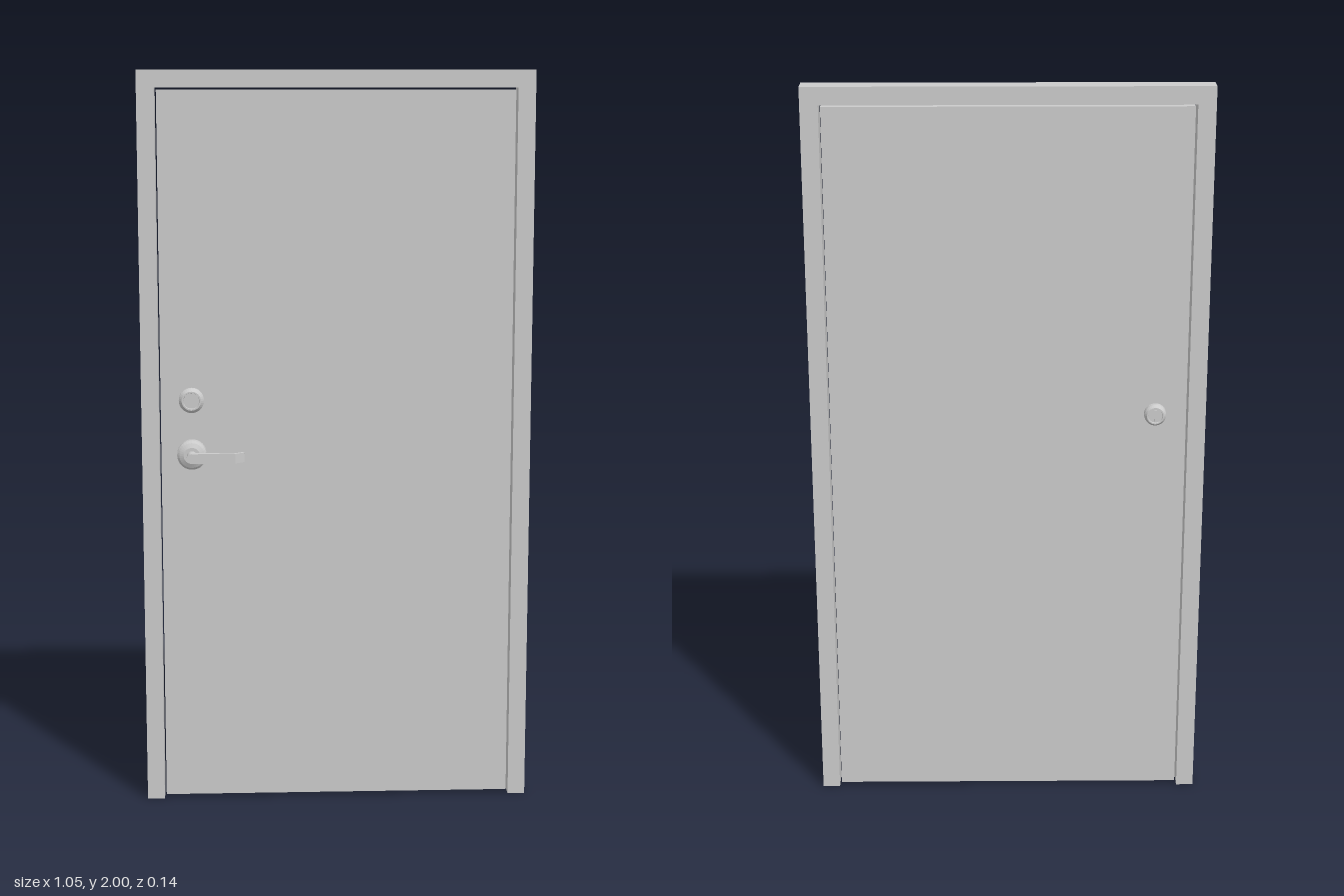
import * as THREE from 'three';

const material = new THREE.MeshStandardMaterial({ color: 0xcccccc });
const flatMaterial = new THREE.MeshStandardMaterial({ color: 0xcccccc, flatShading: true });

function add(parent, name, geometry, x, y, z, mat = material) {
  const mesh = new THREE.Mesh(geometry, mat);
  mesh.name = name;
  mesh.position.set(x, y, z);
  parent.add(mesh);
  return mesh;
}

// Turned part: [radius, distance from the door], facing +z
function turned(points) {
  const profile = points.map(([r, h]) => new THREE.Vector2(r, h));
  return new THREE.LatheGeometry(profile, 32).rotateX(Math.PI / 2);
}

export function createModel() {
  const door = new THREE.Group();
  door.name = 'door';
  const depth = 0.057, halfWidth = 0.527, trim = 0.047, recess = 0.006;
  const hardwareX = -0.392;

  // Frame: two jambs and a head in one piece, open at the floor
  const inner = halfWidth - trim;
  const outline = new THREE.Shape([
    [-halfWidth, 0], [-inner, 0], [-inner, 2 - trim], [inner, 2 - trim],
    [inner, 0], [halfWidth, 0], [halfWidth, 2], [-halfWidth, 2],
  ].map(([x, y]) => new THREE.Vector2(x, y)));
  add(door, 'frame', new THREE.ExtrudeGeometry(outline, { depth, bevelEnabled: false }), 0, 0, -depth);

  // Plain leaf, set in slightly on both faces with a thin gap all round
  add(door, 'doorLeaf', new THREE.BoxGeometry(0.95, 1.938, depth - 2 * recess), 0, 0.979, -depth / 2);

  // Deadbolt: outside cylinder with a key slot
  const outsideLock = new THREE.Group();
  outsideLock.name = 'outsideLock';
  outsideLock.position.set(hardwareX, 1.123, 0);
  door.add(outsideLock);
  add(outsideLock, 'lockCollar', turned([
    [0.034, -recess - 0.002], [0.034, 0.002], [0.026, 0.012], [0.022, 0.012], [0.021, 0.008], [0, 0.008],
  ]), 0, 0, 0, flatMaterial);
  add(outsideLock, 'keySlot', new THREE.BoxGeometry(0.003, 0.016, 0.002), 0, 0, 0.009);

  // Deadbolt: inside collar and thumb turn
  const insideLock = new THREE.Group();
  insideLock.name = 'insideLock';
  insideLock.position.set(hardwareX, 1.123, -depth);
  insideLock.rotation.y = Math.PI;
  door.add(insideLock);
  add(insideLock, 'insideCollar', turned([
    [0.03, -recess - 0.002], [0.029, 0.005], [0.023, 0.013], [0.02, 0.013], [0.019, 0.009], [0, 0.009],
  ]), 0, 0, 0, flatMaterial);
  add(insideLock, 'thumbTurn', new THREE.BoxGeometry(0.006, 0.032, 0.005), 0, 0, 0.011);

  // Lever handle: rose, stem and bent lever
  const handle = new THREE.Group();
  handle.name = 'handle';
  handle.position.set(hardwareX, 0.976, 0);
  door.add(handle);
  add(handle, 'rose', turned([
    [0.04, -recess - 0.002], [0.04, 0.014], [0.034, 0.02], [0.022, 0.026], [0, 0.026],
  ]), 0, 0, 0, flatMaterial);
  add(handle, 'stem', new THREE.CylinderGeometry(0.013, 0.013, 0.046, 24).rotateX(Math.PI / 2), 0, 0, 0.046);

  // Lever profile in x and z, thickened vertically
  const lever = new THREE.Shape([
    [0, 0.0705], [0, 0.049], [0.013, 0.051], [0.112, 0.063], [0.134, 0.045],
    [0.142, 0.045], [0.141, 0.051], [0.117, 0.0705],
  ].map(([x, z]) => new THREE.Vector2(x, -z)));
  const leverGeometry = new THREE.ExtrudeGeometry(lever, { depth: 0.026, bevelEnabled: false });
  add(handle, 'lever', leverGeometry.rotateX(-Math.PI / 2).scale(1, 1, 1), 0, -0.013, 0);

  return door;
}
